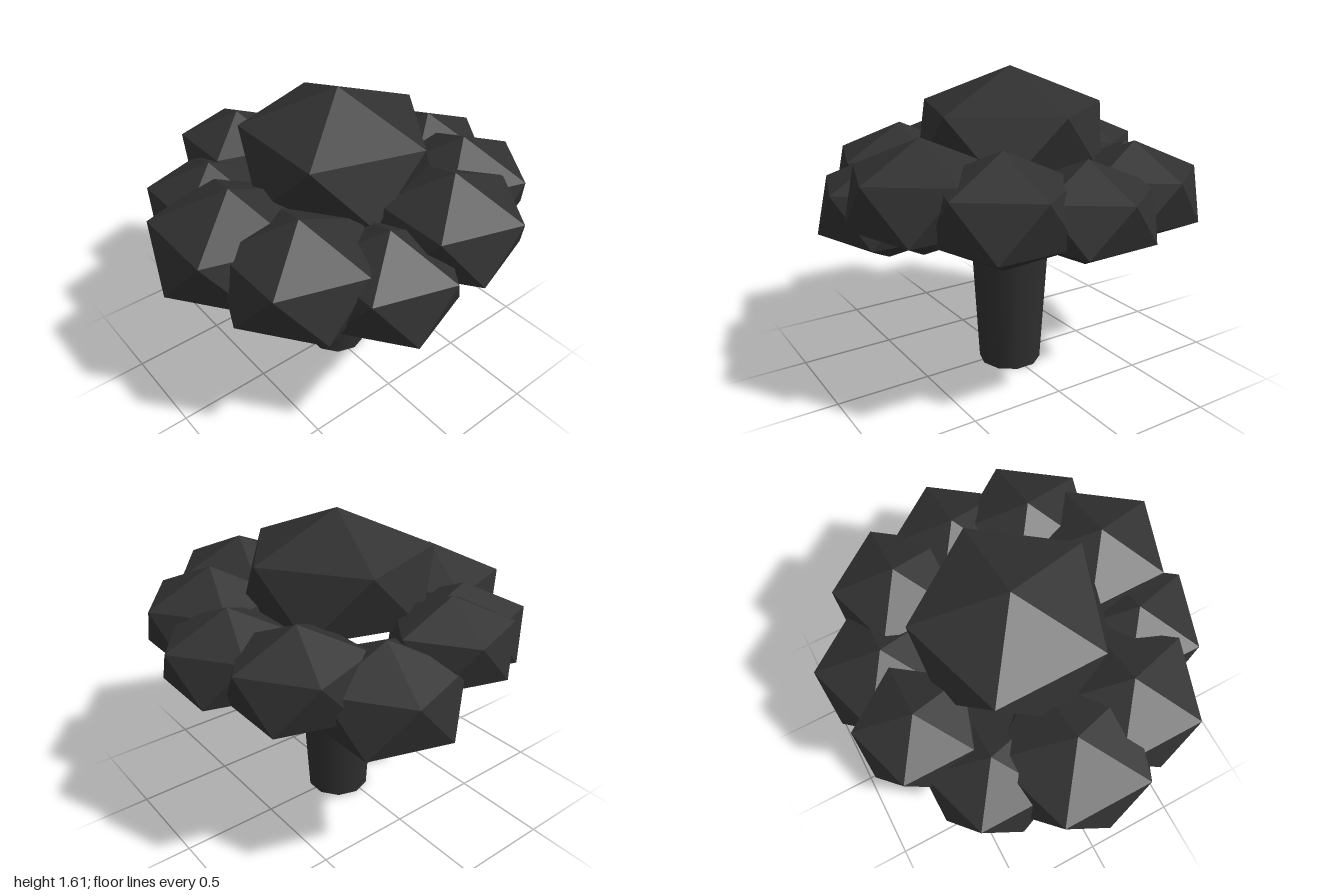
import * as THREE from 'three';

export function createModel() {
  const tree = new THREE.Group();
  tree.name = 'tree';

  const leafMat = new THREE.MeshStandardMaterial({ color: 0x303030 });
  leafMat.name = 'leaf charcoal';
  const barkMat = new THREE.MeshStandardMaterial({ color: 0x2e2e2e });
  barkMat.name = 'bark charcoal';

  // Tapered ten-sided trunk with smooth sides
  const trunk = new THREE.Mesh(new THREE.CylinderGeometry(0.205, 0.168, 0.645, 10), barkMat);
  trunk.name = 'trunk';
  trunk.position.set(0.034, 0.3225, 0);
  tree.add(trunk);

  // Unit icosahedron standing on a corner, upper ring pointing to +x
  const clump = new THREE.IcosahedronGeometry(1, 0);
  clump.rotateZ(-Math.atan(2 / (1 + Math.sqrt(5))));

  // Foliage clumps: name, centre x, y, z, radius, half height
  const clumps = [
    ['crownClump', 0.034, 1.26, 0, 0.544, 0.353],
    ['leftClump', 0.675, 1.01, 0, 0.365, 0.25],
    ['leftFrontClump', 0.55, 1.042, 0.37, 0.39, 0.278],
    ['frontLeftClump', 0.232, 1.07, 0.61, 0.4, 0.28],
    ['frontRightClump', -0.165, 0.932, 0.613, 0.39, 0.278],
    ['rightFrontClump', -0.49, 0.993, 0.375, 0.415, 0.292],
    ['rightClump', -0.61, 0.997, 0, 0.436, 0.303],
    ['rightBackClump', -0.49, 0.957, -0.38, 0.365, 0.255],
    ['backRightClump', -0.165, 1.06, -0.61, 0.343, 0.24],
    ['backLeftClump', 0.232, 0.917, -0.61, 0.4, 0.28],
    ['leftBackClump', 0.553, 1.02, -0.38, 0.37, 0.26],
  ];
  const foliage = new THREE.Group();
  foliage.name = 'foliage';
  for (const [name, x, y, z, r, h] of clumps) {
    const mesh = new THREE.Mesh(clump, leafMat);
    mesh.name = name;
    mesh.position.set(x, y, z);
    mesh.scale.set(r, h, r);
    foliage.add(mesh);
  }
  tree.add(foliage);

  return tree;
}
